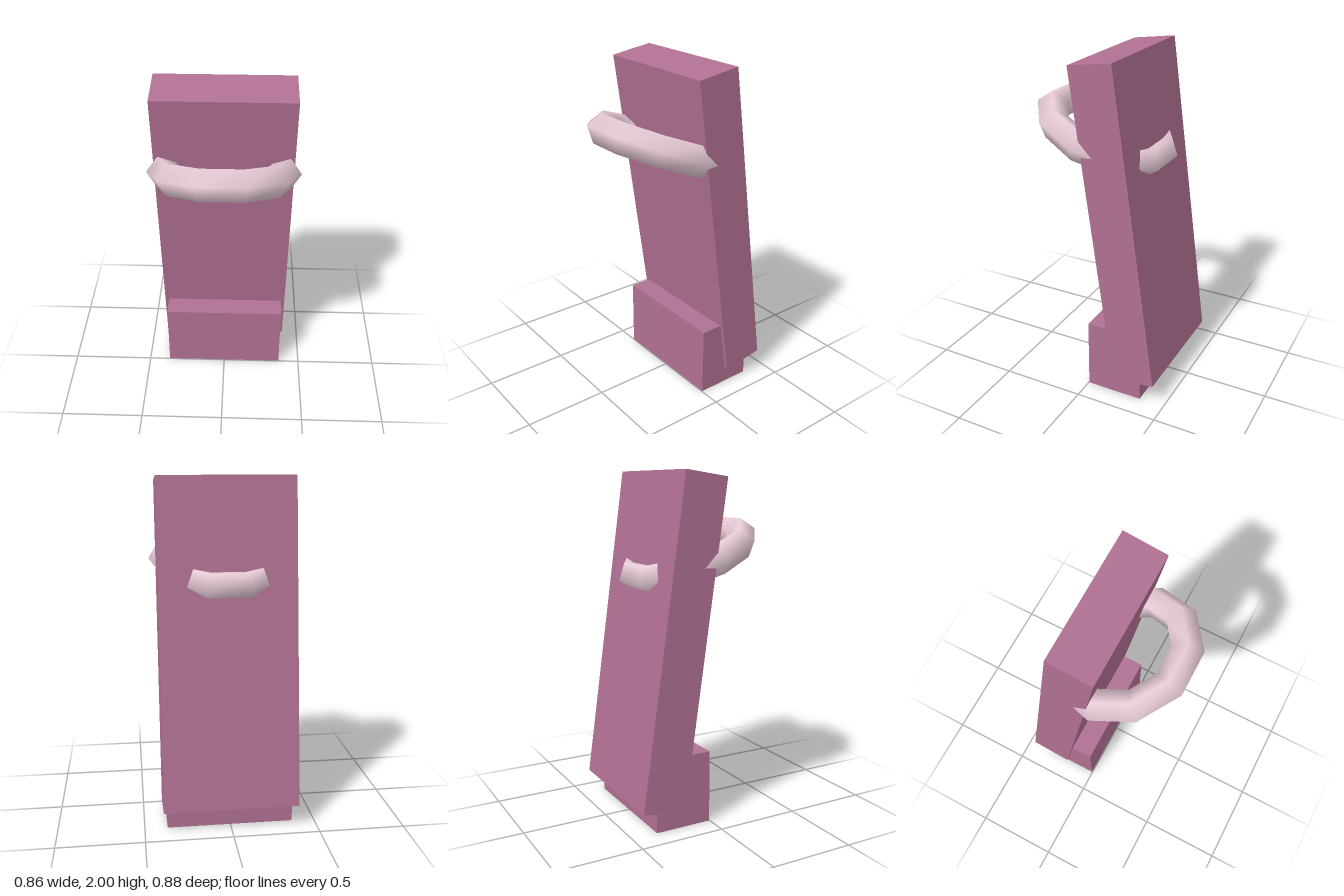
import * as THREE from 'three';

export function createModel() {
  const model = new THREE.Group();
  const mauve = new THREE.MeshStandardMaterial({ color: 0xb07092 });
  const pink = new THREE.MeshStandardMaterial({ color: 0xe8ccd8 });

  const add = (name, geometry, material, y, z, tilt = 0) => {
    const mesh = new THREE.Mesh(geometry, material);
    mesh.name = name;
    mesh.position.set(0, y, z);
    mesh.rotation.x = tilt;
    model.add(mesh);
  };

  // Upright foot block
  add('base', new THREE.BoxGeometry(0.735, 0.424, 0.342), mauve, 0.212, -0.174);

  // Tall slab leaning forward
  add('leaningPanel', new THREE.BoxGeometry(0.784, 1.882, 0.26), mauve, 1.05, -0.177, 0.141);

  // Low-sided ring passing through the slab, raised at the front
  add('ring', new THREE.TorusGeometry(0.34, 0.091, 5, 10), pink, 1.521, 0.057, Math.PI / 2 - 0.37);

  return model;
}
